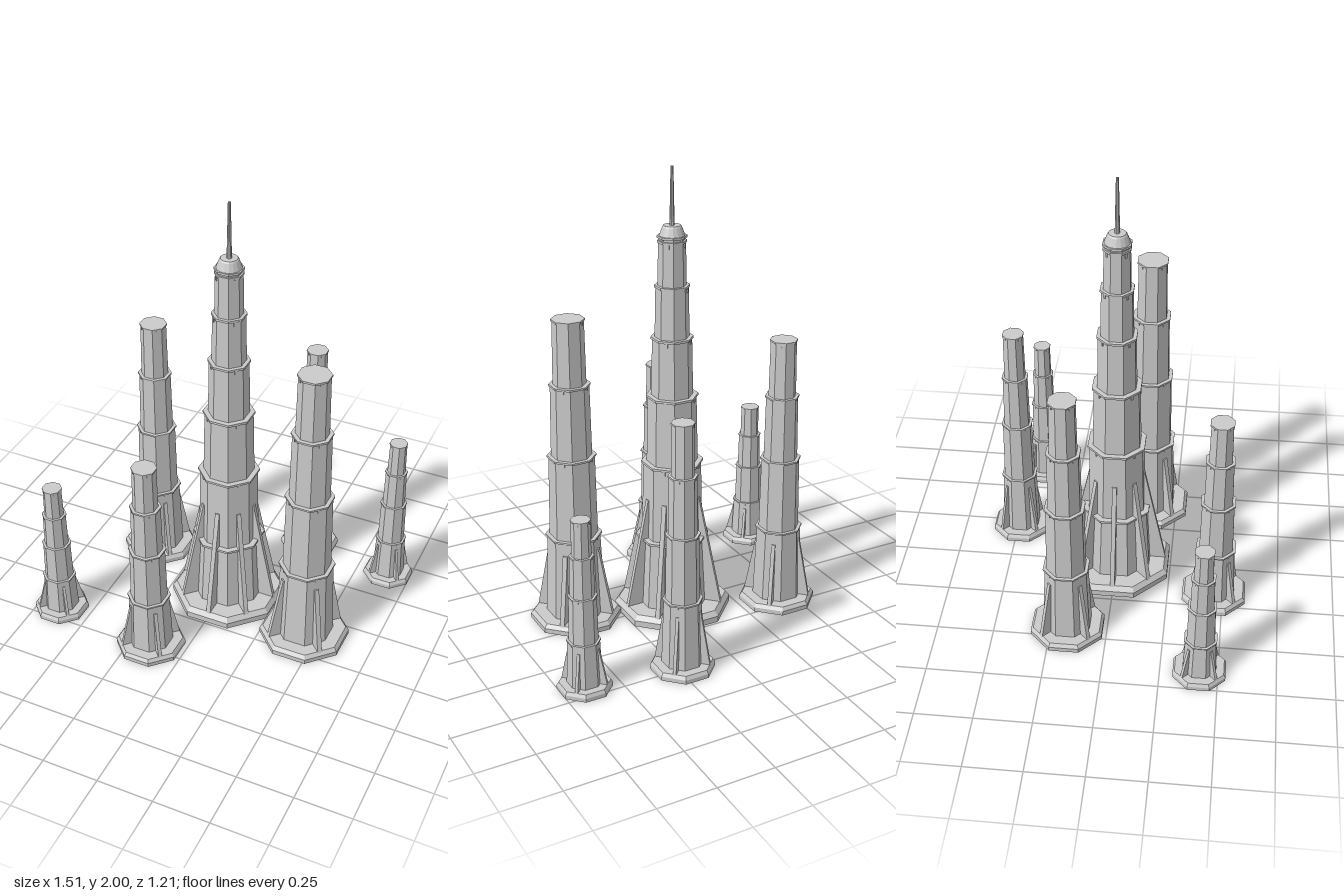
import * as THREE from 'three';

const material = new THREE.MeshStandardMaterial({ color: 0xcccccc, flatShading: true });

function add(parent, name, geometry, y = 0) {
  const mesh = new THREE.Mesh(geometry, material);
  mesh.name = name;
  mesh.position.y = y;
  parent.add(mesh);
  return mesh;
}

// Octagonal frustum from y0 to y1; radii are measured to the flats, which face the axes
function octagon(parent, name, rBottom, rTop, y0, y1) {
  const k = 1 / Math.cos(Math.PI / 8);
  const geometry = new THREE.CylinderGeometry(rTop * k, rBottom * k, y1 - y0, 8);
  geometry.rotateY(Math.PI / 8);
  return add(parent, name, geometry, (y0 + y1) / 2);
}

// Tapered fin leaning on the wall, thin across its direction
function buttress(parent, angle, outer, inner, y0, y1, thickness) {
  const shape = new THREE.Shape([
    new THREE.Vector2(inner * 0.8, y0),
    new THREE.Vector2(outer, y0),
    new THREE.Vector2(inner * 1.03, y1),
    new THREE.Vector2(inner * 0.8, y1),
  ]);
  const geometry = new THREE.ExtrudeGeometry(shape, { depth: thickness, bevelEnabled: false });
  geometry.translate(0, 0, -thickness / 2);
  add(parent, 'buttress', geometry).rotation.y = angle;
}

// Stepped tower: plinth, tapering tiers with ledges, brackets and buttresses
function tower({ name, x, z, base, tops, ledges, slab, fins, finTop, finInner, finWidth }) {
  const group = new THREE.Group();
  group.name = name;
  group.position.set(x, 0, z);

  octagon(group, 'plinth', base, base, 0, slab * 0.55);
  octagon(group, 'plinthSlope', base, base * 0.93, slab * 0.55, slab);

  const ledgeHeight = 0.03 * base + 0.003;
  let y0 = 0;
  tops.forEach((y1, i) => {
    const r = ledges[i];
    const wallTop = r * 0.93;
    octagon(group, 'tier', i === 0 ? r * 1.06 : r * 0.99, wallTop, y0, y1);
    octagon(group, 'ledge', r, r, y1 - ledgeHeight, y1);
    // Small brackets under the ledge
    for (let j = 0; j < 4; j++) {
      const a = Math.PI / 4 + j * Math.PI / 2;
      const size = base * 0.04;
      const bracket = add(group, 'bracket', new THREE.BoxGeometry(size, size * 2, size),
        y1 - ledgeHeight - size);
      bracket.position.x = Math.cos(a) * wallTop;
      bracket.position.z = -Math.sin(a) * wallTop;
      bracket.rotation.y = a;
    }
    y0 = y1;
  });

  const start = fins === 8 ? 0 : Math.PI / 4;
  for (let i = 0; i < fins; i++) {
    buttress(group, start + i * Math.PI * 2 / fins, base * 0.96, finInner, slab * 0.6, finTop, finWidth);
  }
  return group;
}

export function createModel() {
  const model = new THREE.Group();
  model.name = 'towerCluster';

  // Main tower
  const main = tower({
    name: 'mainTower', x: 0.01, z: 0, base: 0.24, slab: 0.05,
    tops: [0.365, 0.715, 1.02, 1.28, 1.505, 1.695],
    ledges: [0.148, 0.125, 0.104, 0.084, 0.069, 0.057],
    fins: 8, finTop: 0.545, finInner: 0.121, finWidth: 0.02,
  });
  // Crown and spire
  octagon(main, 'crownNeck', 0.05, 0.05, 1.69, 1.705);
  octagon(main, 'crownRim', 0.058, 0.058, 1.705, 1.715);
  const crown = [[0.054, 1.715], [0.041, 1.75], [0.036, 1.757], [0, 1.757]];
  add(main, 'crown', new THREE.LatheGeometry(crown.map(p => new THREE.Vector2(...p)), 16));
  add(main, 'spire', new THREE.CylinderGeometry(0.006, 0.011, 0.25, 10), 1.875);
  model.add(main);

  // Surrounding towers: x, z, plinth half-width, height
  [
    [-0.435, -0.175, 0.157, 1.245],
    [0.222, -0.482, 0.127, 1.105],
    [0.645, -0.425, 0.106, 0.76],
    [0.435, 0.115, 0.185, 1.39],
    [-0.162, 0.46, 0.142, 0.978],
    [-0.642, 0.42, 0.113, 0.688],
  ].forEach(([x, z, base, height]) => {
    model.add(tower({
      name: 'sideTower', x, z, base, slab: 0.02 + base * 0.1,
      tops: [0.297, 0.563, 0.796, 1].map(f => f * height),
      ledges: [0.615, 0.53, 0.443, 0.357].map(f => f * base),
      fins: 4, finTop: height * 0.25, finInner: base * 0.6, finWidth: base * 0.11,
    }));
  });

  return model;
}
